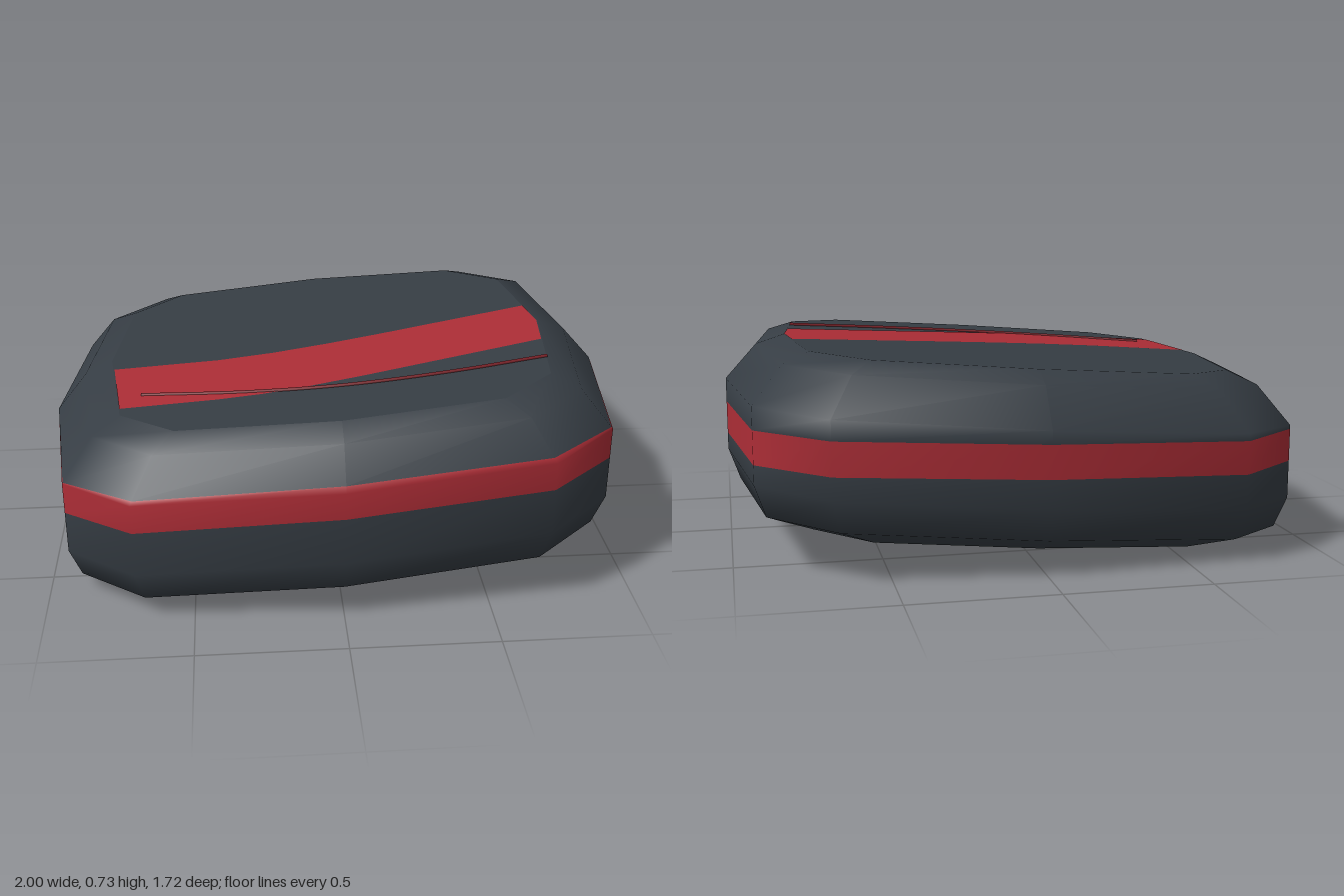
import * as THREE from 'three';
import { mergeVertices } from 'three/addons/utils/BufferGeometryUtils.js';

const darkGrey = new THREE.MeshStandardMaterial({ color: 0x363d44 });
const red = new THREE.MeshStandardMaterial({ color: 0xac2d36 });
const deepRed = new THREE.MeshStandardMaterial({ color: 0x7a2027 });
darkGrey.name = 'darkGrey';
red.name = 'red';
deepRed.name = 'deepRed';

// The whole body leans: height rises towards +x
const SLOPE = 0.072;
const lean = new THREE.Matrix4().set(1, 0, 0, 0, SLOPE, 1, 0, 0, 0, 0, 1, 0, 0, 0, 0, 1);
const BOTTOM = 0.06, TOP = 0.665, SHOULDER = 0.495;

// Outline [x, z] from +x through the front, round to +x again
const outline = [
  [1, 0], [0.925, 0.6], [0.69, 0.8], [0, 0.86], [-0.69, 0.8], [-0.925, 0.6],
  [-1, 0], [-0.925, -0.6], [-0.69, -0.8], [0, -0.86], [0.69, -0.8], [0.925, -0.6], [1, 0],
];
// Lower edge of the band at each outline point; it steps at the +x seam
const bandLow = [0.382, 0.387, 0.397, 0.401, 0.394, 0.384, 0.376, 0.368, 0.356, 0.335, 0.313, 0.303, 0.296];
const BAND_HEIGHT = 0.114;

// Outline scale at each height
const profile = [[BOTTOM, 0.79], [0.125, 0.96], [0.235, 1], [SHOULDER, 1], [0.625, 0.89], [TOP, 0.79]];
function scaleAt(y) {
  for (let i = 1; i < profile.length; i++) {
    const [y0, s0] = profile[i - 1], [y1, s1] = profile[i];
    if (y <= y1) return s0 + (s1 - s0) * (y - y0) / (y1 - y0);
  }
  return profile[profile.length - 1][1];
}

// Rounded wall with the band as its own material group
function wallGeometry() {
  const positions = [], index = [];
  const rows = 9;
  outline.forEach(([x, z], c) => {
    const low = bandLow[c], high = low + BAND_HEIGHT;
    const heights = [BOTTOM, 0.125, 0.235, low, Math.min(high, SHOULDER), high,
      Math.max(high, SHOULDER), 0.625, TOP];
    for (const y of heights) positions.push(x * scaleAt(y), y, z * scaleAt(y));
  });
  const geometry = new THREE.BufferGeometry();
  for (let r = 0; r < rows - 1; r++) {
    const start = index.length;
    for (let c = 0; c < outline.length - 1; c++) {
      const a = c * rows + r, b = a + rows;
      index.push(a, a + 1, b, b, a + 1, b + 1);
    }
    geometry.addGroup(start, index.length - start, r === 3 || r === 4 ? 1 : 0);
  }
  geometry.setAttribute('position', new THREE.Float32BufferAttribute(positions, 3));
  geometry.setIndex(index);
  const welded = mergeVertices(geometry, 1e-5);
  welded.applyMatrix4(lean);
  welded.computeVertexNormals();
  return welded;
}

// Flat leaning face from [x, z] points, facing up or down
function flatFace(points, y, up) {
  const side = up ? -1 : 1;
  const shape = new THREE.Shape(points.map(([x, z]) => new THREE.Vector2(x, side * z)));
  const geometry = new THREE.ShapeGeometry(shape);
  geometry.rotateX(side * Math.PI / 2);
  geometry.translate(0, y, 0);
  geometry.applyMatrix4(lean);
  geometry.computeVertexNormals();
  return geometry;
}

export function createModel() {
  const model = new THREE.Group();
  model.name = 'pebbleCase';
  const add = (name, geometry, material) => {
    const mesh = new THREE.Mesh(geometry, material);
    mesh.name = name;
    model.add(mesh);
  };

  // Body
  add('bodyWall', wallGeometry(), [darkGrey, red]);
  const cap = outline.slice(0, -1).map(([x, z]) => [x * 0.79, z * 0.79]);
  add('topPanel', flatFace(cap, TOP, true), darkGrey);
  add('bottomPanel', flatFace(cap, BOTTOM, false), darkGrey);

  // Sweeping stripe on the top and underside
  const stripe = [
    [-0.775, 0.085], [-0.4, 0.09], [-0.2, 0.07], [0, 0.033], [0.2, -0.013], [0.768, -0.157],
    [0.787, 0], [0.765, 0.178], [0.1, 0.348], [-0.1, 0.393], [-0.25, 0.417], [-0.4, 0.427], [-0.735, 0.425],
  ];
  add('topStripe', flatFace(stripe, TOP + 0.002, true), red);
  add('bottomStripe', flatFace(stripe, BOTTOM - 0.002, false), red);

  // Thin raised curved trim
  const curve = new THREE.CatmullRomCurve3(
    [[-0.665, 0.33], [-0.3, 0.39], [0.04, 0.41], [0.4, 0.385], [0.75, 0.33]]
      .map(([x, z]) => new THREE.Vector3(x, TOP + 0.002 + SLOPE * x, z)));
  add('curvedTrim', new THREE.TubeGeometry(curve, 24, 0.007, 6), deepRed);

  return model;
}
